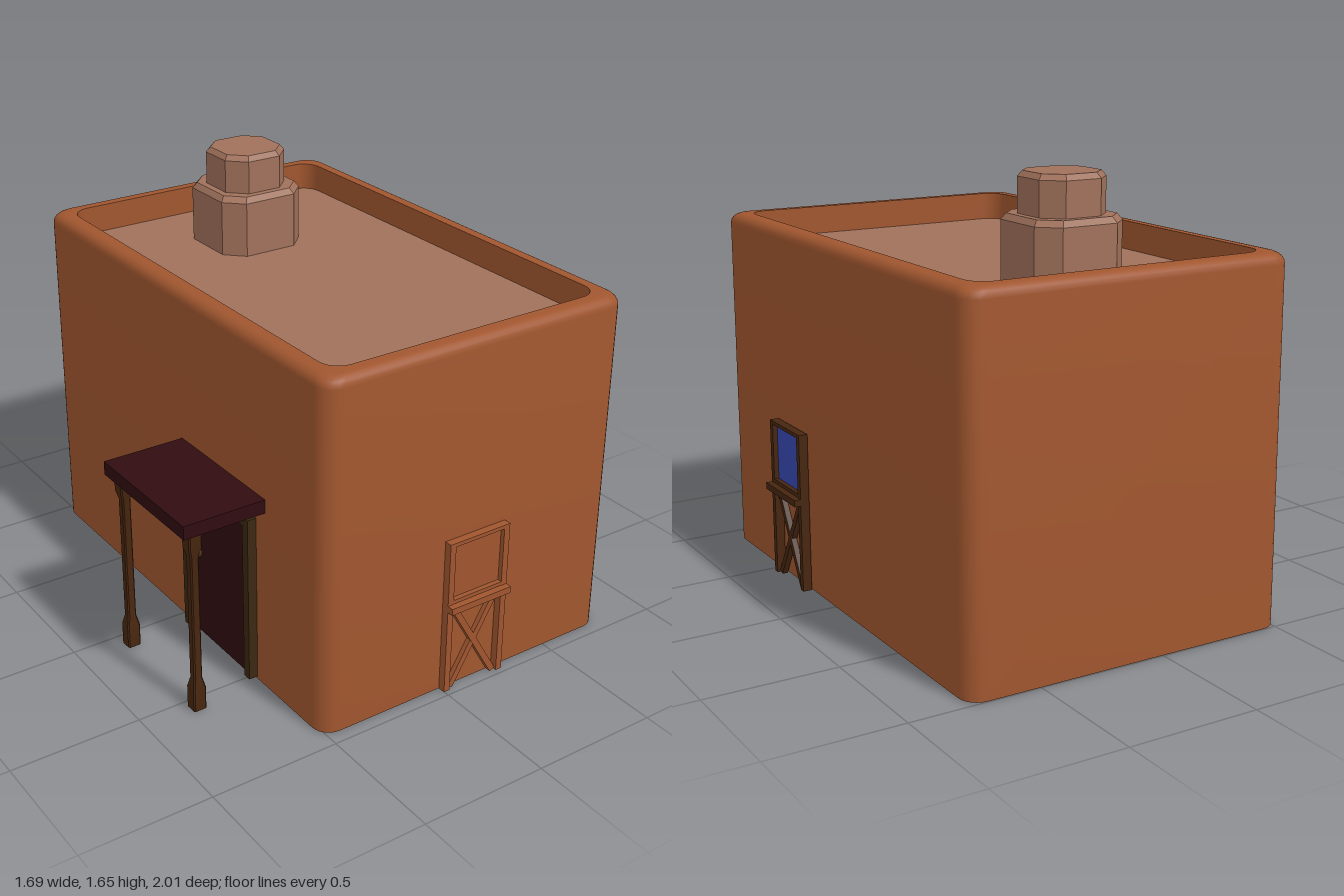
import * as THREE from 'three';
import { toCreasedNormals } from 'three/addons/utils/BufferGeometryUtils.js';

const paint = (name, color) => {
  const m = new THREE.MeshStandardMaterial({ color });
  m.name = name;
  return m;
};

// Rectangle with rounded (or, with one step, chamfered) corners, as [x, z] points.
function outline(hx, hz, r, steps) {
  const pts = [];
  [[1, -1], [-1, -1], [-1, 1], [1, 1]].forEach(([sx, sz], q) => {
    for (let i = 0; i <= steps; i++) {
      const a = (q + i / steps) * Math.PI / 2;
      pts.push([sx * (hx - r) + r * Math.cos(a), sz * (hz - r) - r * Math.sin(a)]);
    }
  });
  return pts;
}

// Stacks outlines along a profile of [y, inset, cornerRadius] rows.
function loft(hx, hz, profile, steps, capTop = true) {
  const pos = [], idx = [];
  const n = 4 * (steps + 1);
  for (const [y, inset, r] of profile) {
    for (const [x, z] of outline(hx - inset, hz - inset, r, steps)) pos.push(x, y, z);
  }
  for (let i = 0; i < profile.length - 1; i++) {
    for (let j = 0; j < n; j++) {
      const k = (j + 1) % n, a = i * n, b = a + n;
      idx.push(a + j, a + k, b + k, a + j, b + k, b + j);
    }
  }
  const top = (profile.length - 1) * n;
  for (let j = 1; j < n - 1; j++) {
    idx.push(0, j + 1, j);
    if (capTop) idx.push(top, top + j, top + j + 1);
  }
  const g = new THREE.BufferGeometry();
  g.setAttribute('position', new THREE.Float32BufferAttribute(pos, 3));
  g.setIndex(idx);
  return toCreasedNormals(g, 0.5);
}

function add(parent, name, geometry, material, x = 0, y = 0, z = 0) {
  const mesh = new THREE.Mesh(geometry, material);
  mesh.name = name;
  mesh.position.set(x, y, z);
  parent.add(mesh);
  return mesh;
}

const box = (parent, name, mat, w, h, d, x, y, z) =>
  add(parent, name, new THREE.BoxGeometry(w, h, d), mat, x, y, z);

// Window on a cross-braced stand, facing +z, its back on z = 0.
function makeWindow(name, frame, pane) {
  const g = new THREE.Group();
  g.name = name;
  for (const s of [-1, 1]) {
    box(g, 'windowPost', frame, 0.025, 0.62, 0.035, s * 0.1225, 0.31, 0.0175);
    const brace = box(g, 'crossBrace', frame, 0.024, 0.395, 0.022, 0, 0.175, 0.014 + s * 0.001);
    brace.rotation.z = s * Math.atan2(0.2, 0.345);
  }
  box(g, 'windowTopRail', frame, 0.22, 0.015, 0.035, 0, 0.6125, 0.0175);
  box(g, 'windowBottomRail', frame, 0.22, 0.015, 0.035, 0, 0.3775, 0.0175);
  box(g, 'windowSill', frame, 0.27, 0.026, 0.06, 0, 0.356, 0.03);
  box(g, 'windowPane', pane, 0.22, 0.22, 0.009, 0, 0.495, 0.012);
  return g;
}

export function createModel() {
  const model = new THREE.Group();
  model.name = 'house';
  const clay = paint('clay', 0xa0562f);
  const roofClay = paint('roof clay', 0xa0715b);
  const wood = paint('dark wood', 0x47260f);
  const frameWood = paint('door frame wood', 0x3b2811);
  const maroon = paint('dark maroon', 0x300c11);
  const blue = paint('blue glass', 0x3849b2);

  // Walls with a rounded outer edge and a raised rim around the roof
  const wall = [[0, 0, 0.07]];
  for (let i = 0; i <= 5; i++) {
    const a = i / 5 * Math.PI / 2;
    wall.push([1.33 + 0.04 * Math.sin(a), 0.038 * (1 - Math.cos(a)), 0.07]);
  }
  wall.push([1.37, 0.07, 0.075], [1.255, 0.07, 0.075]);
  add(model, 'walls', loft(0.648, 0.975, wall, 6, false), clay, 0.13, 0, -0.025);
  add(model, 'roofFloor', loft(0.58, 0.907, [[1.25, 0, 0.075], [1.26, 0, 0.075]], 6),
    roofClay, 0.13, 0, -0.025);

  // Two-tier chimney with bevelled tops
  add(model, 'chimneyBase', loft(0.18, 0.18,
    [[1.255, 0, 0.07], [1.475, 0, 0.07], [1.497, 0.016, 0.065]], 1), roofClay, 0.132, 0, -0.535);
  add(model, 'chimneyTop', loft(0.137, 0.137,
    [[1.49, 0, 0.066], [1.625, 0, 0.066], [1.645, 0.015, 0.06]], 1), roofClay, 0.132, 0, -0.535);

  // Windows: plain one in front, glazed one on the left wall
  const front = makeWindow('frontWindow', clay, clay);
  front.position.set(0.131, 0, 0.945);
  const side = makeWindow('sideWindow', wood, blue);
  side.position.set(0.783, 0, 0.335);
  side.rotation.y = Math.PI / 2;
  model.add(front, side);

  // Porch roof and turned posts
  box(model, 'porchRoof', maroon, 0.335, 0.053, 0.56, -0.6775, 0.755, 0.31);
  const post = loft(0.026, 0.026, [[0, 0, 0.005], [0.09, 0, 0.005], [0.13, 0.009, 0.005],
    [0.63, 0.009, 0.005], [0.665, 0, 0.005], [0.73, 0, 0.005]], 1);
  for (const z of [0.07, 0.55]) add(model, 'porchPost', post, wood, -0.79, 0, z);

  // Door with frame and knob
  const door = new THREE.Group();
  door.name = 'door';
  model.add(door);
  for (const s of [-1, 1]) {
    box(door, 'doorJamb', frameWood, 0.04, 0.67, 0.035, -0.534, 0.345, 0.3 + s * 0.2125);
  }
  box(door, 'doorLintel', frameWood, 0.04, 0.035, 0.39, -0.534, 0.6625, 0.3);
  box(door, 'doorPanel', maroon, 0.02, 0.635, 0.39, -0.524, 0.3275, 0.3);
  add(door, 'doorKnob', new THREE.SphereGeometry(0.022, 12, 8), wood, -0.542, 0.363, 0.16);
  return model;
}
